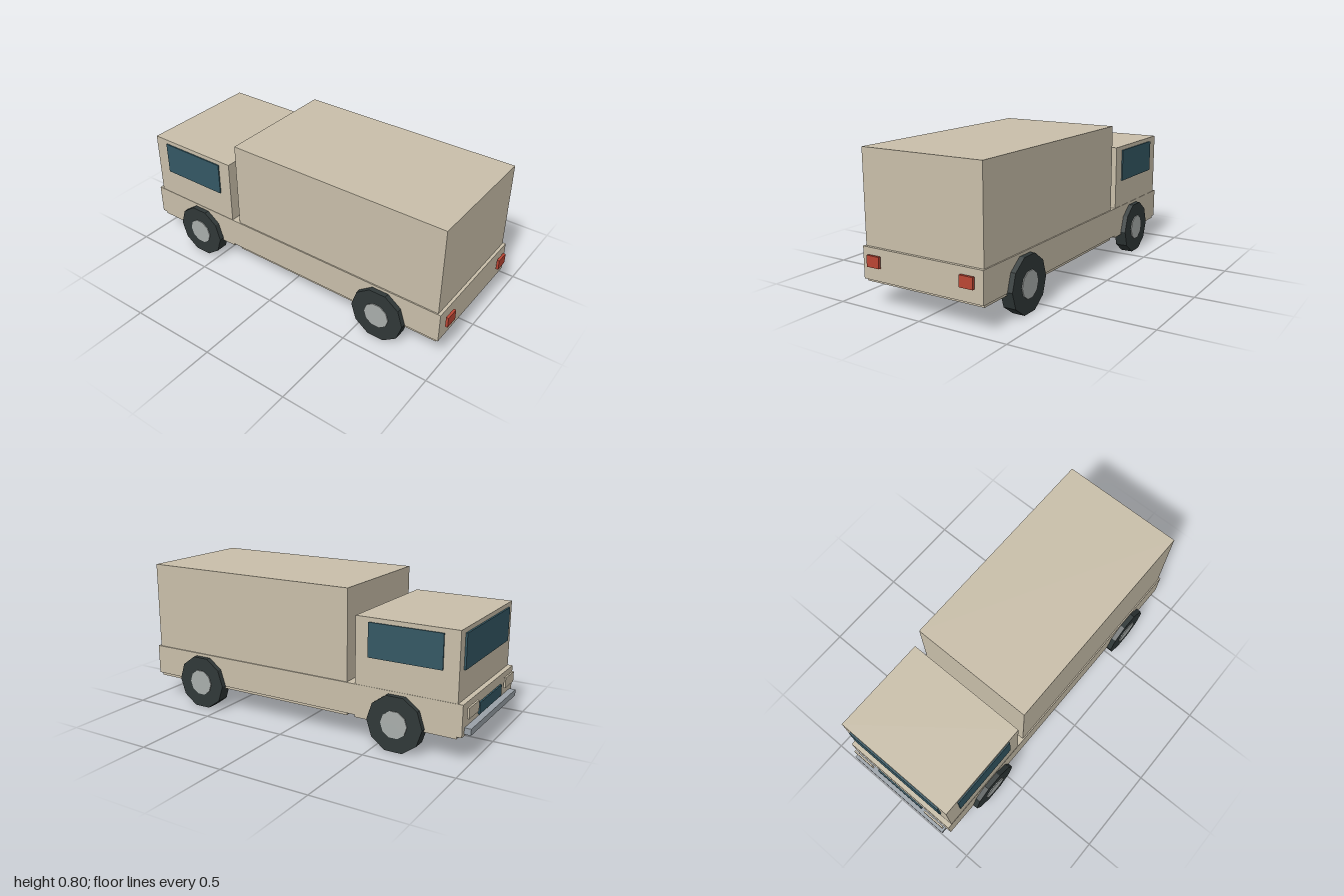
import * as THREE from 'three';

const mat = (name, color, flat = false) => {
  const m = new THREE.MeshStandardMaterial({ color });
  m.name = name;
  m.flatShading = flat;
  return m;
};

export function createModel() {
  const truck = new THREE.Group();
  truck.name = 'boxTruck';

  const paint = mat('beigePaint', 0xc9bfaa);
  const glass = mat('darkGlass', 0x345864);
  const rubber = mat('tyreRubber', 0x303838, true);
  const hubMetal = mat('hubMetal', 0xa9aeac, true);
  const steel = mat('bumperSteel', 0x9aa1a8);
  const red = mat('tailLightRed', 0xba4634);

  // Box given by its extents on each axis
  const box = (name, material, [x0, x1], [y0, y1], [z0, z1]) => {
    const mesh = new THREE.Mesh(new THREE.BoxGeometry(x1 - x0, y1 - y0, z1 - z0), material);
    mesh.position.set((x0 + x1) / 2, (y0 + y1) / 2, (z0 + z1) / 2);
    mesh.name = name;
    truck.add(mesh);
  };

  // Main volumes; the cab end points to -z
  box('chassis', paint, [-0.362, 0.362], [0.143, 0.311], [-0.965, 0.976]);
  box('cargoBox', paint, [-0.355, 0.355], [0.128, 0.805], [-0.326, 0.96]);
  box('cab', paint, [-0.36, 0.36], [0.13, 0.673], [-0.938, -0.376]);

  // Cab face
  box('windscreen', glass, [-0.305, 0.305], [0.466, 0.649], [-0.948, -0.936]);
  box('grille', glass, [-0.16, 0.16], [0.2, 0.262], [-0.977, -0.968]);
  box('bumper', steel, [-0.332, 0.332], [0.152, 0.186], [-1, -0.96]);

  // Mirrored details
  for (const [side, s] of [['left', 1], ['right', -1]]) {
    const span = (a, b) => (s > 0 ? [a, b] : [-b, -a]);
    box(side + 'Window', glass, span(0.358, 0.367), [0.466, 0.649], [-0.855, -0.45]);
    box(side + 'Headlight', paint, span(0.195, 0.328), [0.232, 0.289], [-0.985, -0.975]);
    box(side + 'TailLight', red, span(0.242, 0.32), [0.217, 0.277], [0.986, 1]);
  }

  // Ten-sided wheels with the hub cap proud of the tyre
  const tyreGeo = new THREE.CylinderGeometry(0.155, 0.155, 0.07, 10).rotateZ(Math.PI / 2);
  const hubGeo = new THREE.CylinderGeometry(0.074, 0.074, 0.076, 10).rotateZ(Math.PI / 2);
  for (const [axle, z] of [['front', -0.616], ['rear', 0.629]]) {
    for (const [side, s] of [['Left', 1], ['Right', -1]]) {
      const wheel = new THREE.Group();
      wheel.name = axle + side + 'Wheel';
      const tyre = new THREE.Mesh(tyreGeo, rubber);
      tyre.name = 'tyre';
      const hub = new THREE.Mesh(hubGeo, hubMetal);
      hub.name = 'hub';
      hub.position.x = s * 0.002;
      wheel.add(tyre, hub);
      wheel.position.set(s * 0.355, 0.1475, z);
      truck.add(wheel);
    }
  }
  return truck;
}
